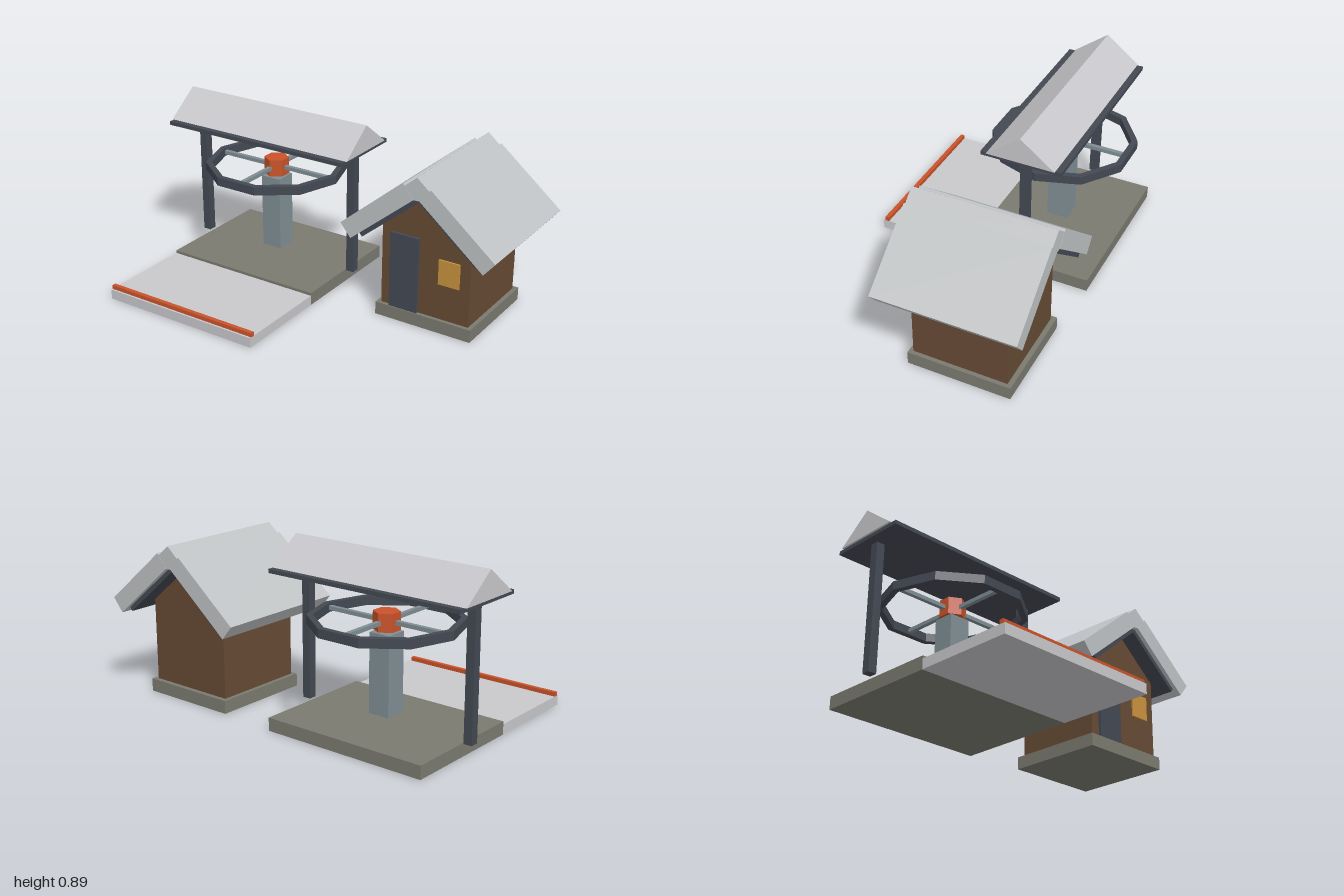
import * as THREE from 'three';

const mat = (name, color) => {
  const m = new THREE.MeshStandardMaterial({ color });
  m.name = name;
  return m;
};

export function createModel() {
  const stone = mat('stone', 0x7a7a70);
  const pale = mat('paleGrey', 0xc8c8cc);
  const tile = mat('roofGrey', 0xbfc2c4);
  const dark = mat('darkMetal', 0x434852);
  const steel = mat('steel', 0x7f8e94);
  const orange = mat('orange', 0xc9532a);
  const wood = mat('woodBrown', 0x664a34);
  const amber = mat('amber', 0xc8913d);

  const model = new THREE.Group();
  model.name = 'wheelShelterAndHut';

  const add = (parent, name, geo, material) => {
    const m = new THREE.Mesh(geo, material);
    m.name = name;
    parent.add(m);
    return m;
  };
  // box given by its limits on each axis
  const box = (parent, name, material, x0, x1, y0, y1, z0, z1) => {
    const m = add(parent, name, new THREE.BoxGeometry(x1 - x0, y1 - y0, z1 - z0), material);
    m.position.set((x0 + x1) / 2, (y0 + y1) / 2, (z0 + z1) / 2);
    return m;
  };
  // outline in x, y pulled along z
  const prism = (points, depth) => new THREE.ExtrudeGeometry(
    new THREE.Shape(points.map(p => new THREE.Vector2(...p))),
    { depth, bevelEnabled: false });

  // ---- Open shelter with wheel ----
  const shelter = new THREE.Group();
  shelter.name = 'shelter';
  model.add(shelter);
  const cx = -0.445, cz = -0.22;

  box(shelter, 'floorSlab', stone, -0.89, 0, 0, 0.067, -0.555, 0.113);
  box(shelter, 'frontApron', pale, -0.89, 0, 0, 0.052, 0.113, 0.627);
  box(shelter, 'apronEdgeStrip', orange, -0.89, 0, 0.052, 0.073, 0.595, 0.617);

  for (const s of [-1, 1]) {
    const x = cx + s * 0.478;
    box(shelter, 'post', dark, x - 0.022, x + 0.022, 0.07, 0.737, cz - 0.022, cz + 0.022);
  }
  box(shelter, 'canopyPlate', dark, -0.99, 0.1, 0.737, 0.757, cz - 0.212, cz + 0.212);

  // solid triangular canopy, ridge along x
  const canopy = add(shelter, 'canopyRoof',
    prism([[-0.18, 0.757], [0.18, 0.757], [0, 0.893]], 1.11), pale);
  canopy.rotation.y = Math.PI / 2;
  canopy.position.set(-1, 0, cz);

  box(shelter, 'pedestal', steel, cx - 0.057, cx + 0.057, 0.103, 0.505, cz - 0.057, cz + 0.057);
  const hubGeo = new THREE.CylinderGeometry(0.066, 0.066, 0.09, 6).toNonIndexed();
  hubGeo.computeVertexNormals();
  add(shelter, 'wheelHub', hubGeo, orange).position.set(cx, 0.56, cz);

  // ten-sided rim
  const decagon = r => Array.from({ length: 10 }, (_, i) =>
    new THREE.Vector2(r * Math.cos(i * Math.PI / 5), r * Math.sin(i * Math.PI / 5)));
  const rimShape = new THREE.Shape(decagon(0.375));
  rimShape.holes.push(new THREE.Path(decagon(0.343)));
  const rim = add(shelter, 'wheelRim',
    new THREE.ExtrudeGeometry(rimShape, { depth: 0.045, bevelEnabled: false }), dark);
  rim.rotation.x = -Math.PI / 2;
  rim.position.set(cx, 0.536, cz);

  for (let i = 0; i < 4; i++) {
    const a = i * Math.PI / 2;
    const spoke = add(shelter, 'wheelSpoke', new THREE.BoxGeometry(0.31, 0.02, 0.022), steel);
    spoke.position.set(cx + Math.cos(a) * 0.195, 0.558, cz + Math.sin(a) * 0.195);
    spoke.rotation.y = -a;
  }

  // ---- Hut ----
  const hut = new THREE.Group();
  hut.name = 'hut';
  hut.position.x = 0.582;
  model.add(hut);

  box(hut, 'hutBase', stone, -0.265, 0.265, 0, 0.067, -0.53, 0.005);
  add(hut, 'hutWalls', prism([
    [-0.243, 0.067], [0.243, 0.067], [0.243, 0.51], [0, 0.705], [-0.243, 0.51],
  ], 0.49), wood).position.z = -0.505;
  box(hut, 'door', dark, -0.192, -0.035, 0.067, 0.47, -0.016, 0);
  box(hut, 'window', amber, 0.075, 0.188, 0.258, 0.39, -0.015, -0.006);

  // sloping roof slabs and the dark lining beneath, mirrored
  const slab = [[0.073, 0.785], [0.015, 0.715], [0.359, 0.43], [0.417, 0.5]];
  const lining = [[0, 0.726], [0, 0.696], [0.307, 0.442], [0.322, 0.46]];
  const mirror = pts => pts.map(([x, y]) => [-x, y]);
  for (const flip of [false, true]) {
    const side = pts => (flip ? mirror(pts) : pts);
    add(hut, 'roofSlab', prism(side(slab), 0.725), tile).position.z = -0.627;
    add(hut, 'roofLining', prism(side(lining), 0.68), dark).position.z = -0.605;
  }
  add(hut, 'ridgeCap', prism([
    [0, 0.83], [-0.09, 0.754], [-0.02, 0.714], [0.02, 0.714], [0.09, 0.754],
  ], 0.723), tile).position.z = -0.626;

  return model;
}
